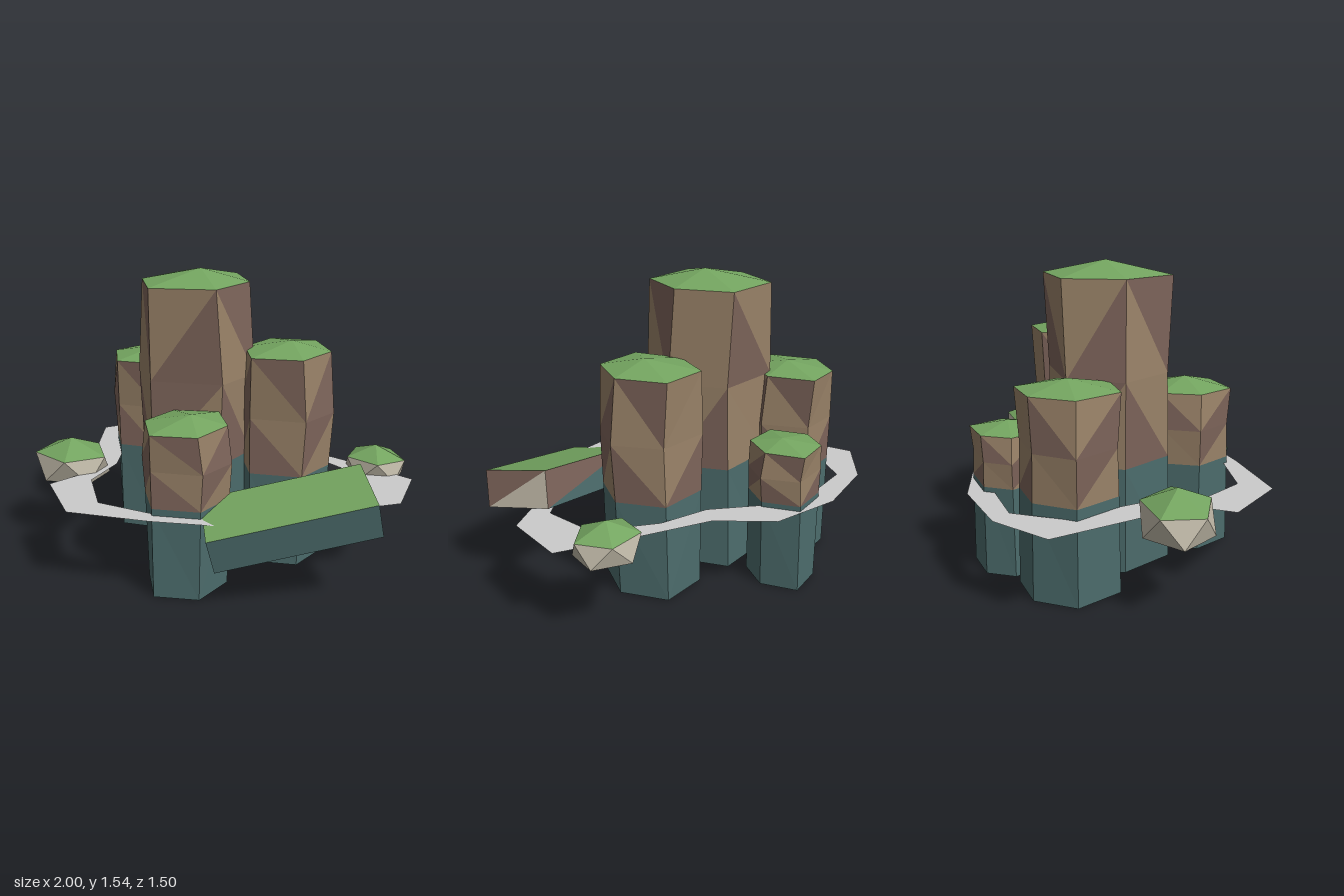
import * as THREE from 'three';

const COLORS = {
  grass: 0x74a560, earth: 0x7d645a, sand: 0x998268, teal: 0x4c6c6c, stone: 0xc0b9a8, grey: 0xcccccc,
};

// Flat-shaded mesh from a list of triangles, each made of three [x, y, z] corners
function facets(name, triangles, color, side = THREE.FrontSide) {
  const geometry = new THREE.BufferGeometry();
  geometry.setAttribute('position', new THREE.Float32BufferAttribute(triangles.flat(2), 3));
  geometry.computeVertexNormals();
  const material = new THREE.MeshStandardMaterial({ color, flatShading: true, side });
  const mesh = new THREE.Mesh(geometry, material);
  mesh.name = name;
  return mesh;
}

// Triangles between two rings, with alternating diagonals
function band(low, high) {
  const out = [];
  low.forEach((p, i) => {
    const j = (i + 1) % low.length;
    if (i % 2) out.push([p, high[i], high[j]], [p, high[j], low[j]]);
    else out.push([p, high[i], low[j]], [low[j], high[i], high[j]]);
  });
  return out;
}

// Fan from a ring to a point above (up) or below it
function fan(ring, tip, up) {
  return ring.map((p, i) => {
    const q = ring[(i + 1) % ring.length];
    return up ? [p, tip, q] : [p, q, tip];
  });
}

// Six-sided rock column, open below: teal foot, mottled brown shaft, grassy cap
function pillar({ name, outline, top, apex, mid, water }, seed) {
  const group = new THREE.Group();
  group.name = name;
  const n = outline.length;
  const cx = outline.reduce((s, p) => s + p[0], 0) / n;
  const cz = outline.reduce((s, p) => s + p[1], 0) / n;
  const ring = (y, kx, kz) => outline.map(([x, z]) => [cx + (x - cx) * kx, y, cz + (z - cz) * kz]);
  const foot = ring(0, 1, 1), line = ring(water, 1.06, 0.96);
  const belly = ring(mid, 1.13, 0.93), rim = ring(top, 1, 1);

  group.add(facets('pillarFoot', band(foot, line), COLORS.teal, THREE.DoubleSide));

  const shaft = [...band(line, belly), ...band(belly, rim)];
  const isEarth = (t, i) => (i * 7 + seed * 5 + (i >> 2)) % 5 < 2;
  group.add(facets('pillarEarth', shaft.filter(isEarth), COLORS.earth, THREE.DoubleSide));
  group.add(facets('pillarSand', shaft.filter((t, i) => !isEarth(t, i)), COLORS.sand, THREE.DoubleSide));

  group.add(facets('pillarGrass', fan(rim, [cx + 0.03, apex, cz], true), COLORS.grass, THREE.DoubleSide));
  return group;
}

// Squashed twenty-faced boulder: grass on top, stone around, teal below
function boulder(name, [x, y, z], [rx, ry, rz]) {
  const group = new THREE.Group();
  group.name = name;
  const ring = (dy, turn) => Array.from({ length: 5 }, (_, i) => {
    const a = (i + turn) * Math.PI * 2 / 5;
    return [x + rx * Math.cos(a), y + dy, z + rz * Math.sin(a)];
  });
  const high = ring(ry * 0.447, 0), low = ring(-ry * 0.447, 0.5);
  const waist = [];
  for (let i = 0; i < 5; i++) {
    const j = (i + 1) % 5;
    waist.push([low[i], high[i], high[j]], [low[i], high[j], low[j]]);
  }
  group.add(facets('boulderGrass', fan(high, [x, y + ry, z], true), COLORS.grass));
  group.add(facets('boulderStone', waist, COLORS.stone));
  group.add(facets('boulderUnderside', fan(low, [x, y - ry, z], false), COLORS.teal));
  return group;
}

// Tilted slab leaning against the front pillar
function slab() {
  const group = new THREE.Group();
  group.name = 'fallenSlab';
  const add = (p, v) => p.map((c, i) => c + v[i]);
  const along = [-0.70, -0.175, 0.375], down = [0.02, -0.18, -0.05];
  const a = [0.80, 0.65, 0.01], b = [0.98, 0.59, 0.31];
  const c = add(b, along), d = add(a, along);
  const [a2, b2, c2, d2] = [a, b, c, d].map((p) => add(p, down));
  const quad = (p, q, r, s) => [[p, q, r], [p, r, s]];
  group.add(facets('slabGrass', quad(a, d, c, b), COLORS.grass));
  group.add(facets('slabSides', [
    ...quad(b, c, c2, b2), ...quad(c, d, d2, c2), ...quad(a2, b2, c2, d2), [d, a2, d2],
  ], COLORS.teal));
  group.add(facets('slabEarth', [[a, b, b2], [d, a, a2]], COLORS.earth));
  group.add(facets('slabStoneEnd', [[a, b2, a2]], COLORS.stone));
  return group;
}

// Flat foam ribbon winding around the pillars, as [outer x, z, inner x, z]
function ribbon() {
  const pairs = [
    [-0.95, -0.36, -0.74, -0.30], [-0.74, -0.61, -0.65, -0.54], [-0.40, -0.755, -0.40, -0.62],
    [-0.03, -0.755, -0.07, -0.575], [0.22, -0.565, 0.17, -0.455], [0.60, -0.485, 0.43, -0.44],
    [0.98, -0.39, 0.74, -0.31], [1.0, -0.06, 0.81, -0.04], [0.86, 0.06, 0.72, 0.06],
    [0.60, 0.32, 0.50, 0.24], [0.26, 0.57, 0.20, 0.50], [-0.03, 0.66, 0.0, 0.58],
    [-0.45, 0.75, -0.37, 0.59], [-0.73, 0.51, -0.56, 0.37], [-0.63, 0.34, -0.56, 0.12],
    [-0.76, 0.05, -0.62, -0.03],
  ];
  const y = 0.445;
  const outer = pairs.map((p) => [p[0], y, p[1]]);
  const inner = pairs.map((p) => [p[2], y, p[3]]);
  const triangles = [];
  outer.forEach((p, i) => {
    const j = (i + 1) % outer.length;
    triangles.push([p, inner[i], inner[j]], [p, inner[j], outer[j]]);
  });
  return facets('foamRibbon', triangles, COLORS.grey, THREE.DoubleSide);
}

export function createModel() {
  const model = new THREE.Group();
  model.name = 'rockIsland';

  const pillars = [
    { name: 'tallPillar', top: 1.48, apex: 1.545, mid: 1.0, water: 0.56,
      outline: [[-0.05, -0.365], [0.13, -0.13], [0.08, 0.16], [-0.24, 0.265], [-0.42, 0.02], [-0.36, -0.28]] },
    { name: 'leftPillar', top: 1.135, apex: 1.185, mid: 0.81, water: 0.51,
      outline: [[0.15, -0.38], [0.39, -0.44], [0.545, -0.24], [0.48, 0.0], [0.23, 0.07], [0.10, -0.14]] },
    { name: 'rightPillar', top: 1.0, apex: 1.045, mid: 0.74, water: 0.50,
      outline: [[-0.67, -0.44], [-0.47, -0.51], [-0.33, -0.31], [-0.41, -0.06], [-0.62, -0.02], [-0.76, -0.23]] },
    { name: 'frontPillar', top: 0.86, apex: 0.91, mid: 0.67, water: 0.48,
      outline: [[-0.13, 0.23], [0.09, 0.15], [0.22, 0.32], [0.17, 0.54], [-0.05, 0.61], [-0.18, 0.43]] },
    { name: 'backPillar', top: 0.73, apex: 0.765, mid: 0.60, water: 0.47,
      outline: [[-0.37, -0.68], [-0.19, -0.75], [-0.08, -0.59], [-0.13, -0.42], [-0.31, -0.37], [-0.42, -0.53]] },
  ];
  pillars.forEach((p, i) => model.add(pillar(p, i)));

  model.add(boulder('rightBoulder', [-0.785, 0.455, 0.22], [0.215, 0.145, 0.175]));
  model.add(boulder('leftBoulder', [0.75, 0.457, -0.475], [0.165, 0.118, 0.143]));
  model.add(slab());
  model.add(ribbon());
  return model;
}
